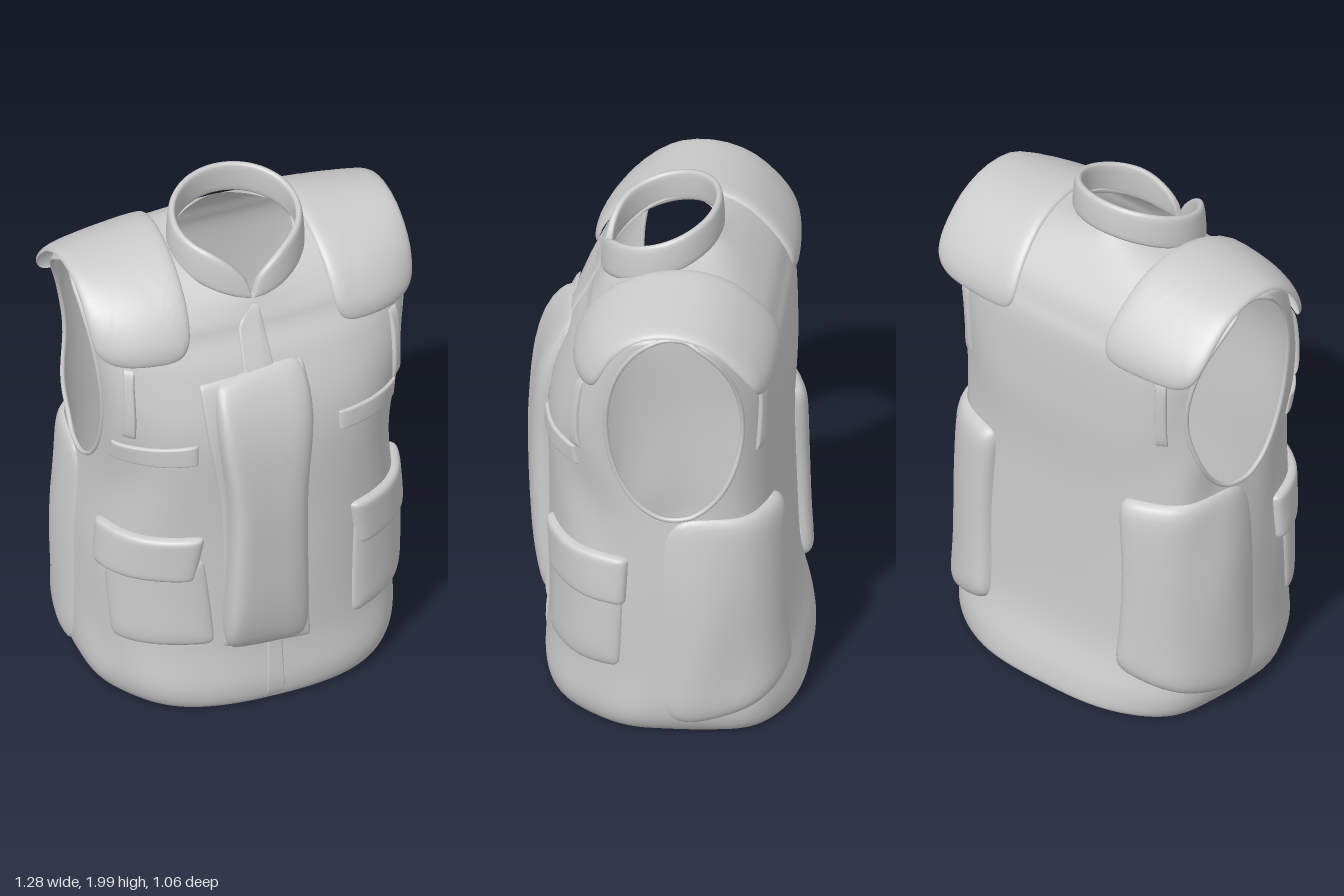
import * as THREE from 'three';
import { mergeVertices } from 'three/addons/utils/BufferGeometryUtils.js';

const V = (x, y, z) => new THREE.Vector3(x, y, z);
const cloth = new THREE.MeshStandardMaterial({ color: 0xcccccc, side: THREE.DoubleSide, roughness: 0.9 });
const ZC = -0.05; // depth of the side seams

// Body rings, hem to neck: y at front / side / back, half width, front z, back z, front and back squareness
const RINGS = [
  [0.03, 0.03, 0.03, 0.50, 0.37, -0.48, 2.5, 3.0],
  [0.005, 0.005, 0.005, 0.55, 0.415, -0.525, 2.5, 3.0],
  [0.09, 0.09, 0.09, 0.595, 0.44, -0.52, 2.5, 3.0],
  [0.28, 0.28, 0.28, 0.60, 0.43, -0.465, 2.4, 3.2],
  [0.60, 0.60, 0.60, 0.60, 0.43, -0.445, 2.4, 3.4],
  [0.95, 0.95, 0.95, 0.575, 0.425, -0.445, 2.7, 3.4],
  [1.25, 1.25, 1.25, 0.588, 0.41, -0.45, 3.3, 3.4],
  [1.45, 1.50, 1.50, 0.62, 0.35, -0.44, 3.3, 3.4],
  [1.56, 1.725, 1.60, 0.635, 0.29, -0.41, 3.1, 3.4],
  [1.61, 1.785, 1.68, 0.605, 0.27, -0.37, 3.0, 3.2],
  [1.65, 1.815, 1.78, 0.44, 0.25, -0.28, 2.4, 2.4],
  [1.69, 1.825, 1.86, 0.23, 0.23, -0.185, 1.9, 1.7],
];
const LAST = RINGS.length - 1;

// Smooth interpolation between the rings
function ring(t) {
  t = THREE.MathUtils.clamp(t, 0, LAST);
  const i = Math.min(Math.floor(t), LAST - 1), f = t - i;
  const [a, b, c, d] = [-1, 0, 1, 2].map(k => RINGS[THREE.MathUtils.clamp(i + k, 0, LAST)]);
  return b.map((_, k) => b[k] + 0.5 * f * (c[k] - a[k] + f * (2 * a[k] - 5 * b[k] + 4 * c[k] - d[k]
    + f * (3 * (b[k] - c[k]) + d[k] - a[k]))));
}

// Point on the cloth at an angle (0 = left side, PI/2 = front) and ring number
function bodyPoint(th, t) {
  const [yf, ys, yb, w, zf, zb, nf, nb] = ring(t);
  const c = Math.cos(th), s = Math.sin(th), n = s > 0 ? nf : nb;
  const q = Math.pow(Math.abs(s), 2 / n);
  const x = w * Math.sign(c) * Math.pow(Math.abs(c), 2 / n);
  const z = q * ((s > 0 ? zf : zb) - ZC);
  const y = ys + ((s > 0 ? yf : yb) - ys) * q * q;
  // soft folds
  const fold = 1 + 0.009 * Math.sin(9 * s + 3 * Math.sin(3.1 * y)) * Math.min(1, (LAST - t) / 4);
  return V(x * fold, y, ZC + z * fold);
}

// Ring number at a given front height
function ringAt(y) {
  let lo = 1.2, hi = LAST;
  for (let i = 0; i < 30; i++) {
    const m = (lo + hi) / 2;
    if (ring(m)[0] < y) lo = m; else hi = m;
  }
  return lo;
}

// Grid of quads from a rule; skip() leaves cells out
function gridGeometry(nu, nv, rule, skip = () => false) {
  const pos = [], idx = [];
  for (let j = 0; j <= nv; j++) for (let i = 0; i <= nu; i++) pos.push(...rule(i / nu, j / nv).toArray());
  for (let j = 0; j < nv; j++) for (let i = 0; i < nu; i++) {
    const a = j * (nu + 1) + i, b = a + 1, c = a + nu + 1, d = c + 1;
    if (!skip([[i, j], [i + 1, j], [i, j + 1], [i + 1, j + 1]])) idx.push(a, c, b, b, c, d);
  }
  let g = new THREE.BufferGeometry();
  g.setAttribute('position', new THREE.Float32BufferAttribute(pos, 3));
  g.setIndex(idx);
  g = mergeVertices(g, 1e-5);
  g.computeVertexNormals();
  return g;
}

function mesh(name, geometry) {
  const m = new THREE.Mesh(geometry, cloth);
  m.name = name;
  return m;
}

// Armhole: an oval in side view, and the push of a point out to its edge
const HOLE_T = 6.7;
const inHole = p => Math.hypot((p.z + 0.085) / 0.248, (p.y - 1.365) / 0.415) < 1;
function holeEdge(side, a, b) {
  let lo = 0, hi = 0.1;
  while (hi < 50 && inHole(bodyPoint(side + a * hi, HOLE_T + b * hi))) hi *= 1.3;
  for (let i = 0; i < 24; i++) {
    const m = (lo + hi) / 2;
    if (inHole(bodyPoint(side + a * m, HOLE_T + b * m))) lo = m; else hi = m;
  }
  return bodyPoint(side + a * hi, HOLE_T + b * hi);
}

function makeBody() {
  const nu = 176, nv = LAST * 9, angle = u => (u - 0.25) * Math.PI * 2;
  const isIn = (u, v) => inHole(bodyPoint(angle(u), v * LAST));
  return gridGeometry(nu, nv, (u, v) => {
    const th = angle(u), t = v * LAST;
    if (!isIn(u, v)) return bodyPoint(th, t);
    const side = Math.cos(th) > 0 ? 0 : Math.PI;
    return holeEdge(side, th - side + 1e-5, t - HOLE_T + 1e-5);
  }, cell => cell.every(([i, j]) => isIn(i / nu, j / nv)));
}

// Padded patch with rounded corners on a surface f(u, v), u and v from -1 to 1; thick(u, v) is its padding
function patch(name, f, thick, round = 10, edge = 6, n = 24) {
  const e = 0.02;
  return mesh(name, gridGeometry(n, n, (i, j) => {
    const a = Math.sin((i - 0.5) * Math.PI), b = Math.sin((j - 0.5) * Math.PI);
    const m = Math.max(Math.abs(a), Math.abs(b));
    const k = m / (Math.pow(Math.abs(a) ** round + Math.abs(b) ** round, 1 / round) || 1);
    const u = a * k, v = b * k, p = f(u, v);
    const normal = f(u + e, v).sub(f(u - e, v)).cross(f(u, v + e).sub(f(u, v - e))).normalize();
    if (normal.dot(V(p.x, p.y - Math.min(p.y, 1.3), p.z - ZC)) < 0) normal.negate();
    return p.addScaledVector(normal, 0.003 + thick(u, v) * Math.sqrt(Math.max(0, 1 - m ** edge)));
  }));
}

// Patch on the body; corners [x, y]: bottom left, bottom right, top right, top left; x beyond the width means the side
function bodyPatch(name, corners, thick, { back = false, round, edge } = {}) {
  const q = corners.map(([x, y]) => {
    const r = ring(ringAt(y)), c = Math.min(1, Math.abs(x) / r[3]) ** ((back ? r[7] : r[6]) / 2);
    const th = Math.acos(Math.sign(x) * c);
    return [back ? -th : th, y];
  });
  return patch(name, (u, v) => {
    const s = (u + 1) / 2, h = (v + 1) / 2;
    const mix = k => (q[0][k] * (1 - s) + q[1][k] * s) * (1 - h) + (q[3][k] * (1 - s) + q[2][k] * s) * h;
    return bodyPoint(mix(0), ringAt(mix(1)));
  }, typeof thick === 'function' ? thick : () => thick, round, edge);
}

// Shoulder pad arched from chest over shoulder to upper back, drawn in towards the armhole
const arch = new THREE.CatmullRomCurve3([[0.295, 1.51], [0.275, 1.6], [0.2, 1.715], [0.06, 1.8], [-0.1, 1.825],
  [-0.24, 1.785], [-0.35, 1.69], [-0.41, 1.6], [-0.435, 1.51]].map(([z, y]) => V(0, y, z)));
function shoulderPad(name) {
  return patch(name, (u, v) => {
    const s = (u + 1) / 2, p = arch.getPoint(THREE.MathUtils.clamp((v + 1) / 2, 0, 1));
    const inner = 0.235 - 0.045 * v + 0.02 * (1 - v * v);
    const x = inner + (0.635 - 0.02 * v ** 4 - inner) * s;
    const z = p.z * (1 - (p.z > 0 ? 0.36 : 0.1) * s ** 3);
    return V(x, p.y - 0.045 * s * (1 - v * v) + 0.01, z);
  }, () => 0.02, 5.5, 10, 32);
}

// Stand collar, open at the front with rounded ends
function makeCollar() {
  return gridGeometry(96, 16, (u, v) => {
    const ph = -0.07 + u * (Math.PI * 2 - 0.03), c = Math.cos(ph);
    const end = Math.min(u, 1 - u) * 2;
    const h = (0.125 + 0.01 * c) * Math.sqrt(1 - (1 - Math.min(1, end / 0.24)) ** 2) + 0.015;
    const a = v * Math.PI * 2; // padded cross-section
    const up = 0.5 - 0.5 * Math.sign(Math.cos(a)) * Math.abs(Math.cos(a)) ** 0.6;
    const out = 0.015 * Math.sign(Math.sin(a)) * Math.abs(Math.sin(a)) ** 0.6 - 0.01 * up;
    const y = 1.79 - 0.075 * c - 0.03 * Math.max(0, c) ** 6 + h * up;
    return V((0.245 + out) * Math.sin(ph), y, 0.02 + (0.214 + out) * c);
  });
}

export function createModel() {
  const vest = new THREE.Group();
  vest.name = 'vest';
  vest.add(mesh('body', makeBody()), mesh('collar', makeCollar()));

  // Front closure and large chest panel, padded most along its right edge
  vest.add(bodyPatch('frontSeam', [[-0.045, 0.03], [0.02, 0.03], [0, 1.66], [-0.03, 1.66]], 0.01, { round: 30, edge: 8 }));
  vest.add(bodyPatch('panelBacking', [[-0.21, 0.28], [0.13, 0.25], [0.13, 1.45], [-0.28, 1.43]], 0.015, { round: 40, edge: 20 }));
  vest.add(bodyPatch('chestPanel', [[-0.22, 0.28], [0.13, 0.26], [0.135, 1.47], [-0.235, 1.42]],
    (u, v) => (0.082 - 0.035 * u) * (1 - 0.22 * Math.max(0, v)) + 0.012 * Math.cos(2.5 * v), { round: 8, edge: 6 }));

  // Pockets with tapered flaps
  const pockets = [
    ['left', [[0.31, 0.27], [0.58, 0.29], [0.58, 0.68], [0.32, 0.68]], [[0.335, 0.57], [0.587, 0.57], [0.578, 0.77], [0.30, 0.77]]],
    ['right', [[-0.55, 0.29], [-0.24, 0.3], [-0.28, 0.68], [-0.565, 0.68]], [[-0.583, 0.58], [-0.31, 0.59], [-0.275, 0.785], [-0.575, 0.77]]],
  ];
  for (const [side, bag, flap] of pockets) {
    vest.add(bodyPatch(side + 'Pocket', bag, 0.022, { round: 16 }));
    vest.add(bodyPatch(side + 'PocketFlap', flap, 0.032, { round: 16, edge: 12 }));
  }

  // Chest tapes
  vest.add(bodyPatch('leftTape', [[0.245, 1.135], [0.515, 1.135], [0.515, 1.215], [0.245, 1.215]], 0.012, { round: 40, edge: 16 }));
  vest.add(bodyPatch('rightTape', [[-0.555, 1.095], [-0.3, 1.12], [-0.3, 1.205], [-0.555, 1.175]], 0.012, { round: 40, edge: 16 }));

  // Mirrored parts: shoulder pads, straps, side panels
  for (const side of [1, -1]) {
    const half = new THREE.Group();
    half.name = side > 0 ? 'leftSide' : 'rightSide';
    half.add(shoulderPad('shoulderPad'));
    half.add(bodyPatch('frontStrap', [[0.505, 1.22], [0.535, 1.22], [0.53, 1.48], [0.50, 1.48]], 0.014, { round: 30 }));
    half.add(bodyPatch('backStrap', [[0.44, 1.22], [0.48, 1.22], [0.48, 1.46], [0.44, 1.46]], 0.014, { round: 30, back: true }));
    half.add(bodyPatch('sidePanel', [[0.30, 0.2], [9, 0.06], [9, 0.955], [0.30, 0.945]], u => 0.04 - 0.016 * u,
      { back: true, round: 14, edge: 10 }));
    half.scale.x = side;
    vest.add(half);

    // Armhole binding
    const rim = [];
    for (let i = 0; i < 64; i++) {
      const a = i / 64 * Math.PI * 2;
      rim.push(holeEdge(side > 0 ? 0 : Math.PI, Math.cos(a) * 0.5, Math.sin(a)));
    }
    vest.add(mesh('armholeBinding', new THREE.TubeGeometry(new THREE.CatmullRomCurve3(rim, true), 128, 0.009, 8, true)));
  }
  return vest;
}
